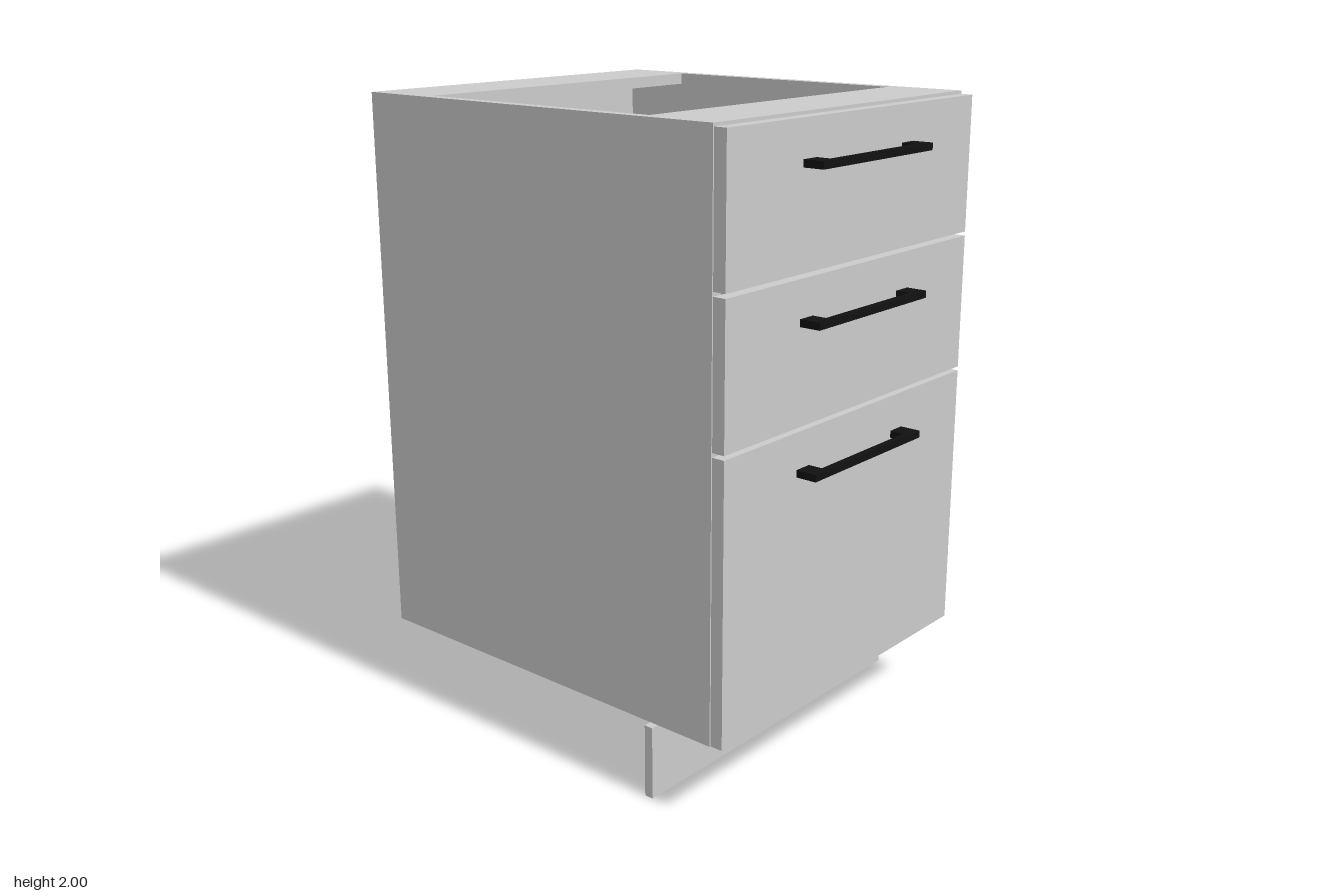
import * as THREE from 'three';

export function createModel() {
  const cabinet = new THREE.Group();
  cabinet.name = 'drawerCabinet';
  const grey = new THREE.MeshStandardMaterial({ color: 0xcccccc });
  const black = new THREE.MeshStandardMaterial({ color: 0x111111 });

  // box given by its minimum and maximum corners
  function box(name, [x0, y0, z0], [x1, y1, z1], material = grey, parent = cabinet) {
    const mesh = new THREE.Mesh(new THREE.BoxGeometry(x1 - x0, y1 - y0, z1 - z0), material);
    mesh.position.set((x0 + x1) / 2, (y0 + y1) / 2, (z0 + z1) / 2);
    mesh.name = name;
    parent.add(mesh);
  }

  const W = 0.606, T = 0.036, IN = W - T; // half width, board thickness, inner half width
  const BOTTOM = 0.25, TOP = 2, BACK = -0.727, FRONT = 0.62;

  // carcass: both sides and the floor as one U-shaped section run front to back
  const section = new THREE.Shape([
    [-W, BOTTOM], [W, BOTTOM], [W, TOP], [IN, TOP],
    [IN, BOTTOM + T], [-IN, BOTTOM + T], [-IN, TOP], [-W, TOP],
  ].map(([x, y]) => new THREE.Vector2(x, y)));
  const depth = FRONT - BACK - 0.01;
  const carcass = new THREE.Mesh(
    new THREE.ExtrudeGeometry(section, { depth, bevelEnabled: false }), grey);
  carcass.position.z = BACK + 0.01;
  carcass.name = 'carcass';
  cabinet.add(carcass);

  // thin back panel and the two top rails around the opening
  box('backPanel', [-W, BOTTOM, BACK], [W, TOP, BACK + 0.01]);
  box('backTopRail', [-IN, TOP - T, BACK + 0.01], [IN, TOP, -0.485]);
  box('frontTopRail', [-IN, TOP - T, 0.375], [IN, TOP, FRONT]);

  // recessed plinth board
  box('plinth', [-W, 0, 0.374], [W, 0.232, 0.403]);

  // drawer fronts, each with a bar handle on two posts
  const drawers = [
    { name: 'lower', y0: 0.25, y1: 1.113, handle: 0.99 },
    { name: 'middle', y0: 1.126, y1: 1.553, handle: 1.429 },
    { name: 'upper', y0: 1.566, y1: 1.99, handle: 1.868 },
  ];
  for (const { name, y0, y1, handle } of drawers) {
    box(name + 'DrawerFront', [-0.602, y0, FRONT], [0.602, y1, 0.661]);
    const grip = new THREE.Group();
    grip.name = name + 'Handle';
    const h0 = handle - 0.011, h1 = handle + 0.011;
    box('handleBar', [-0.213, h0, 0.706], [0.213, h1, 0.728], black, grip);
    box('rightPost', [-0.273, h0, 0.661], [-0.213, h1, 0.728], black, grip);
    box('leftPost', [0.213, h0, 0.661], [0.273, h1, 0.728], black, grip);
    cabinet.add(grip);
  }
  return cabinet;
}
